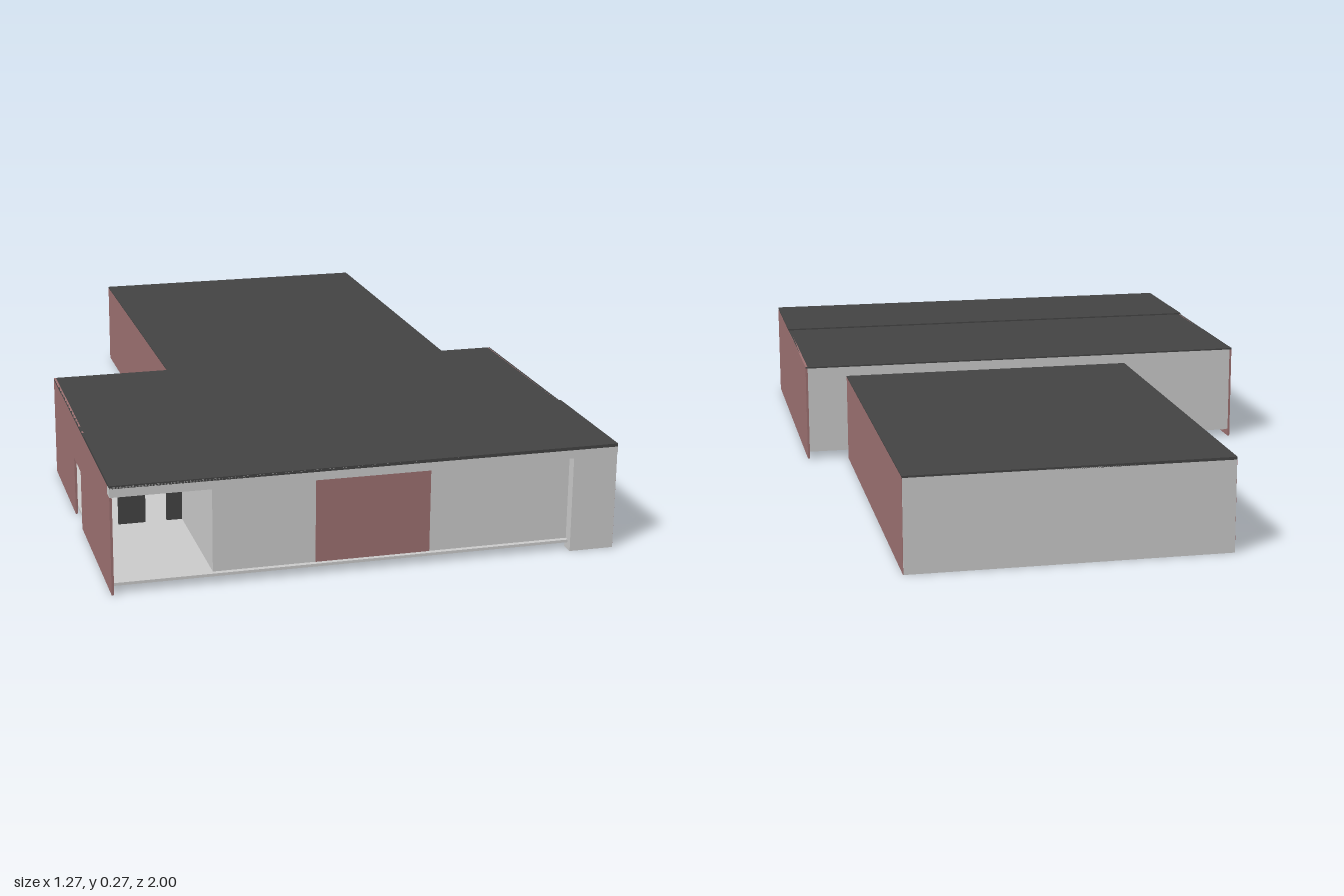
import * as THREE from 'three';

const mat = (color) => new THREE.MeshStandardMaterial({ color, side: THREE.DoubleSide });

export function createModel() {
  const model = new THREE.Group();
  const grey = mat(0xcccccc), dark = mat(0x444444), red = mat(0x9e7272), tan = mat(0xe6cb90);

  // Box given by its extents on each axis
  function box(parent, name, material, [x0, x1], [y0, y1], [z0, z1]) {
    const mesh = new THREE.Mesh(new THREE.BoxGeometry(x1 - x0, y1 - y0, z1 - z0), material);
    mesh.position.set((x0 + x1) / 2, (y0 + y1) / 2, (z0 + z1) / 2);
    mesh.name = name;
    parent.add(mesh);
    return mesh;
  }

  // Upright panel in the XY plane with openings that reach its bottom edge
  function panel(name, material, [a0, a1], [y0, y1], depth, doors) {
    const s = new THREE.Shape();
    s.moveTo(a0, y0);
    for (const [d0, d1, top] of doors) {
      s.lineTo(d0, y0);
      s.lineTo(d0, top);
      s.lineTo(d1, top);
      s.lineTo(d1, y0);
    }
    s.lineTo(a1, y0);
    s.lineTo(a1, y1);
    s.lineTo(a0, y1);
    s.closePath();
    const mesh = new THREE.Mesh(new THREE.ExtrudeGeometry(s, { depth, bevelEnabled: false }), material);
    mesh.name = name;
    return mesh;
  }

  // Front hall
  const hall = new THREE.Group();
  hall.name = 'frontHall';
  model.add(hall);
  const floorY = 0.022, X = 0.635;
  box(hall, 'hallFloor', grey, [-X + 0.006, X - 0.006], [floorY - 0.004, floorY + 0.003], [0.1, 0.985]);
  box(hall, 'hallRoof', dark, [-X, X], [0.266, 0.27], [0.09, 1]);
  box(hall, 'frontRoofSection', dark, [-X, X], [0.27, 0.274], [0.63, 1]);
  box(hall, 'hallCeiling', grey, [-X + 0.006, X - 0.006], [0.245, 0.266], [0.1, 0.97]);
  box(hall, 'hallBackWall', grey, [-X + 0.006, X - 0.006], [floorY, 0.266], [0.092, 0.1]);
  box(hall, 'leftSideWall', red, [X - 0.006, X], [0, 0.27], [0.092, 0.998]);

  // Right side wall with a doorway; the panel's x runs along -z after turning
  const sideWall = panel('rightSideWall', red, [-0.998, -0.092], [0, 0.27], 0.006, [[-0.55, -0.44, 0.155]]);
  sideWall.rotation.y = Math.PI / 2;
  sideWall.position.x = -X;
  hall.add(sideWall);

  // Front face: fascia, corner pier and shop-front panels
  box(hall, 'fascia', grey, [-X, X], [0.245, 0.272], [0.97, 1.0]);
  box(hall, 'cornerPier', grey, [0.52, X - 0.001], [0, 0.245], [0.965, 1.0]);
  box(hall, 'frontPanelRight', grey, [-0.385, -0.13], [floorY, 0.245], [0.962, 0.972]);
  box(hall, 'frontEntrance', red, [-0.13, 0.16], [floorY, 0.245], [0.962, 0.973]);
  box(hall, 'frontPanelLeft', grey, [0.16, 0.52], [floorY, 0.245], [0.962, 0.972]);

  // Recessed porch
  box(hall, 'porchSideWall', grey, [-0.385, -0.377], [floorY, 0.245], [0.6, 0.962]);
  const porchBack = panel('porchBackWall', dark, [-X + 0.006, -0.385], [floorY, 0.245], 0.008,
    [[-0.605, -0.55, 0.155], [-0.48, -0.425, 0.155]]);
  porchBack.position.z = 0.6;
  hall.add(porchBack);

  // Link between the two buildings
  const link = new THREE.Group();
  link.name = 'link';
  model.add(link);
  box(link, 'linkPassage', grey, [-0.26, 0.49], [0.03, 0.21], [0.07, 0.095]);
  for (const x of [-0.25, 0.475]) box(link, 'linkPost', dark, [x - 0.01, x + 0.01], [0.03, 0.213], [0.072, 0.092]);

  // Rear hall
  const rear = new THREE.Group();
  rear.name = 'rearHall';
  model.add(rear);
  const L = -0.3, R = 0.52, zBack = -1, zFront = 0.075;
  box(rear, 'rearRoof', dark, [L, R], [0.236, 0.243], [zBack, zFront]);
  box(rear, 'rearWallRight', red, [L, L + 0.006], [0, 0.24], [zBack + 0.002, zFront - 0.001]);
  box(rear, 'rearWallLeft', red, [R - 0.006, R], [0, 0.24], [zBack + 0.002, zFront - 0.001]);
  box(rear, 'rearBackWall', grey, [L + 0.001, R - 0.001], [0, 0.238], [zBack, zBack + 0.008]);
  box(rear, 'rearFrontWall', grey, [L + 0.006, R - 0.006], [floorY, 0.238], [zFront - 0.008, zFront]);

  // Underside: grey border, boarded floor and paired joists
  const [j0, j1, joists] = [-0.24, 0.46, 7];
  const zA = -0.93, zB = 0.03;
  box(rear, 'floorBorderRight', grey, [L + 0.006, j0], [0.02, 0.032], [zBack + 0.008, zFront - 0.008]);
  box(rear, 'floorBorderLeft', grey, [j1, R - 0.006], [0.02, 0.032], [zBack + 0.008, zFront - 0.008]);
  box(rear, 'floorBorderBack', grey, [j0, j1], [0.02, 0.032], [zBack + 0.008, zA]);
  box(rear, 'floorBorderFront', grey, [j0, j1], [0.02, 0.032], [zB, zFront - 0.008]);
  box(rear, 'floorBoards', tan, [j0, j1], [0.03, 0.036], [zA, zB]);
  for (let i = 0; i < joists; i++) {
    const x = j0 + ((j1 - j0) * i) / (joists - 1);
    box(rear, 'joistWeb', dark, [x - 0.018, x + 0.018], [0.024, 0.031], [zA, zB]);
    for (const s of [-1, 1]) {
      const c = x + s * 0.017;
      box(rear, 'joistRail', dark, [c - 0.004, c + 0.004], [0.017, 0.031], [zA, zB]);
    }
  }
  return model;
}
